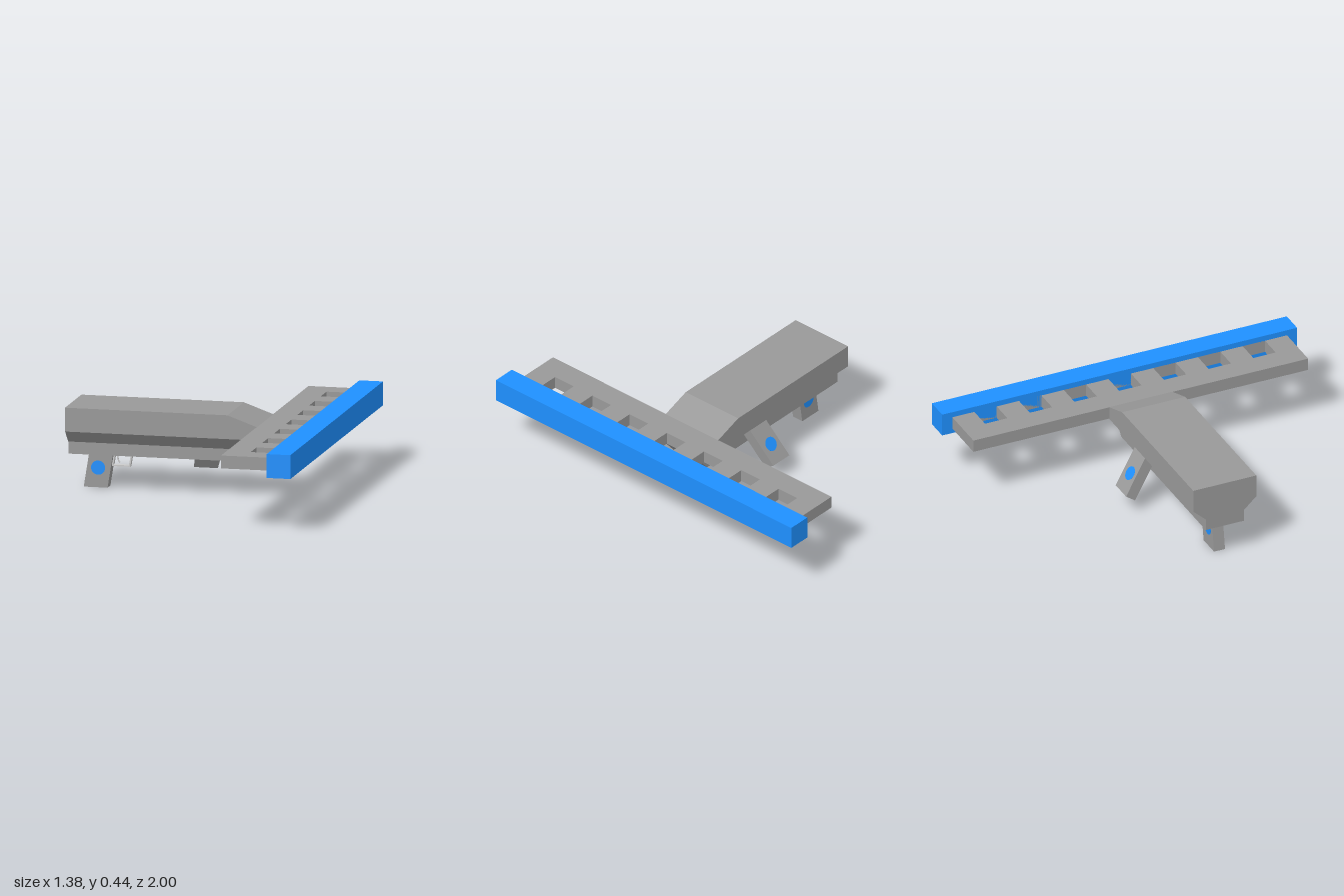
import * as THREE from 'three';
import { ConvexGeometry } from 'three/addons/geometries/ConvexGeometry.js';

const grey = new THREE.MeshStandardMaterial({ color: 0x999999, flatShading: true });
const pale = new THREE.MeshStandardMaterial({ color: 0xcccccc });
const blue = new THREE.MeshStandardMaterial({ color: 0x1e90ff });

function part(name, geometry, material = grey) {
  const mesh = new THREE.Mesh(geometry, material);
  mesh.name = name;
  return mesh;
}

const pointsOf = (points) => points.map(([x, y]) => new THREE.Vector2(x, y));
const shapeOf = (points) => new THREE.Shape(pointsOf(points));
const holeOf = (points) => new THREE.Path(pointsOf(points));

// Extrude an x-y outline, centred on z = 0
function slab(shape, depth) {
  return new THREE.ExtrudeGeometry(shape, { depth, bevelEnabled: false }).translate(0, 0, -depth / 2);
}

// Slanted handle with a flush round inlay on the given sides; origin at the bottom centre
function makeGrip(name, height, inlaySides) {
  const grip = new THREE.Group();
  grip.name = name;
  const lean = height * 0.16;
  grip.add(part(name + 'Handle', slab(shapeOf([
    [-0.0625, 0], [0.0625, 0], [0.0625 + lean, height], [-0.0625 + lean, height],
  ]), 0.062)));
  for (const s of inlaySides) {
    const inlay = part(name + 'Inlay', new THREE.CylinderGeometry(0.037, 0.037, 0.01, 32), blue);
    inlay.rotation.x = Math.PI / 2;
    inlay.position.set(0.013, 0.102, s * 0.0265);
    grip.add(inlay);
  }
  return grip;
}

export function createModel() {
  const model = new THREE.Group();
  model.name = 'launcher';

  // Body: wide upper block, narrow lower block, chamfer wedges between them
  model.add(part('upperBody', slab(shapeOf([
    [-0.692, 0.311], [0.315, 0.311], [0.315, 0.38], [0.16, 0.435], [-0.692, 0.435],
  ]), 0.355)));
  model.add(part('lowerBody', slab(shapeOf([
    [-0.692, 0.183], [0.32, 0.183], [0.428, 0.313], [-0.692, 0.313],
  ]), 0.214)));
  for (const s of [1, -1]) {
    const corners = [
      [-0.692, 0.311, 0.1775], [-0.692, 0.311, 0.107], [-0.692, 0.246, 0.107],
      [0.315, 0.311, 0.1775], [0.365, 0.313, 0.107], [0.32, 0.246, 0.107],
    ].map(([x, y, z]) => new THREE.Vector3(x, y, z * s));
    model.add(part(s > 0 ? 'frontChamfer' : 'backChamfer', new ConvexGeometry(corners)));
  }

  // Cross plate with a row of square openings (shape y becomes -z)
  const plate = shapeOf([[0.313, -0.943], [0.57, -0.943], [0.57, 0.943], [0.313, 0.943]]);
  for (let i = -3; i <= 3; i++) {
    const z = i * 0.252;
    plate.holes.push(holeOf([
      [0.438, z - 0.063], [0.438, z + 0.063], [0.566, z + 0.063], [0.566, z - 0.063],
    ]));
  }
  const plateGeometry = slab(plate, 0.067).rotateX(-Math.PI / 2).translate(0, 0.3465, 0);
  model.add(part('crossPlate', plateGeometry));

  // Long bar along the outer edge of the plate
  model.add(part('crossBar', new THREE.BoxGeometry(0.124, 0.124, 2).translate(0.628, 0.348, 0), blue));

  // Rear grip, and a side grip swung out to the back with an inlay on its outer face
  const rearGrip = makeGrip('rearGrip', 0.187, [1, -1]);
  rearGrip.position.set(-0.567, 0, 0);
  const sideGrip = makeGrip('sideGrip', 0.22, [-1]);
  sideGrip.position.set(-0.052, 0.0925, -0.259);
  sideGrip.rotation.x = THREE.MathUtils.degToRad(35);
  model.add(rearGrip, sideGrip);

  // Trigger guard frame and curved trigger
  const guard = shapeOf([[-0.487, 0.11], [-0.39, 0.11], [-0.377, 0.187], [-0.474, 0.187]]);
  guard.holes.push(holeOf([
    [-0.478, 0.117], [-0.468, 0.179], [-0.386, 0.179], [-0.397, 0.117],
  ]));
  model.add(part('triggerGuard', slab(guard, 0.027), pale));

  const curve = new THREE.QuadraticBezierCurve3(
    new THREE.Vector3(-0.445, 0.185, 0),
    new THREE.Vector3(-0.47, 0.155, 0),
    new THREE.Vector3(-0.446, 0.127, 0),
  );
  model.add(part('trigger', new THREE.TubeGeometry(curve, 12, 0.004, 8), pale));

  return model;
}
